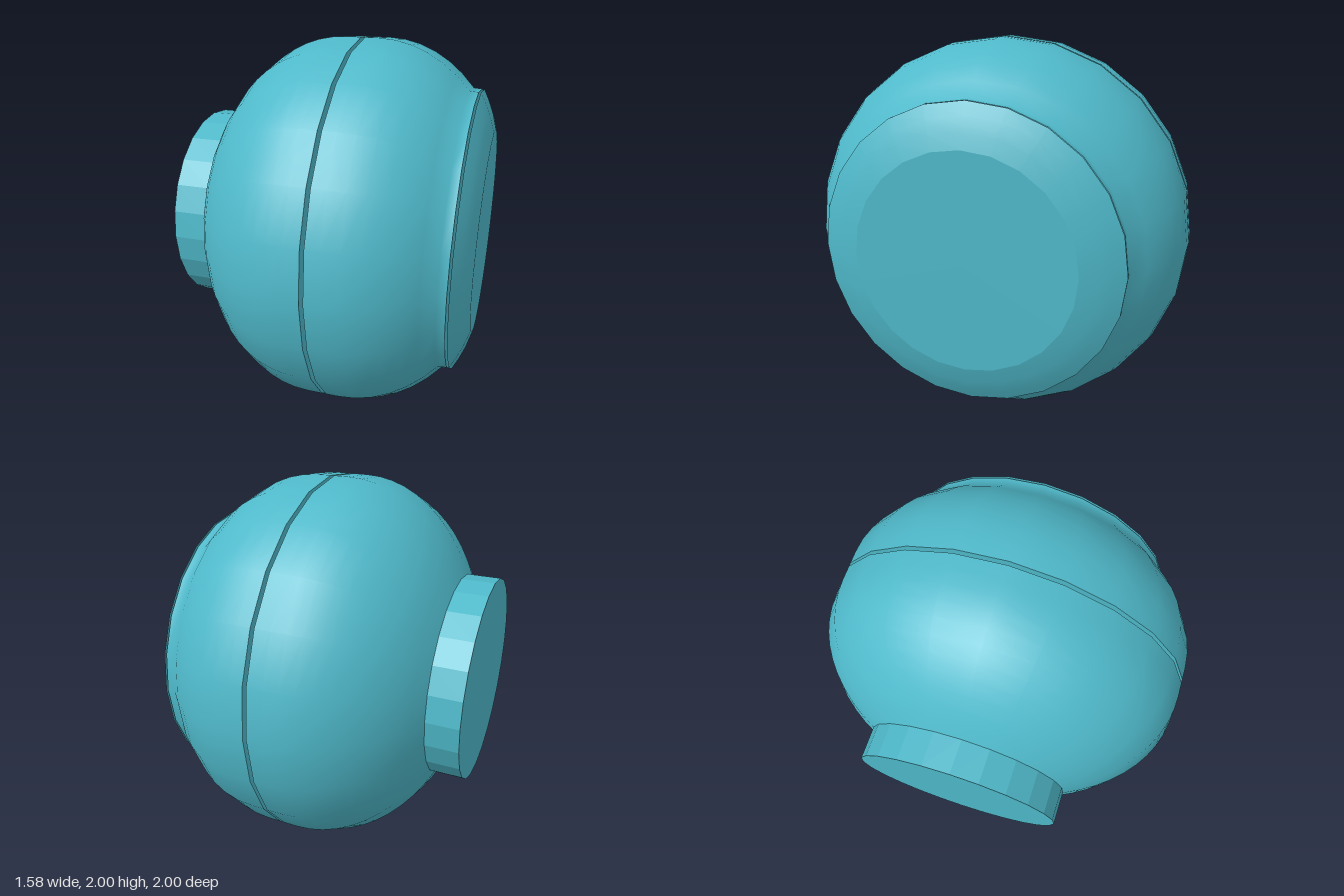
import * as THREE from 'three';
import { mergeGeometries } from 'three/addons/utils/BufferGeometryUtils.js';

const SIDES = 24;
const teal = new THREE.MeshStandardMaterial({ color: 0x4fb9ca });
teal.name = 'teal';

// Flat disc across the x axis, facing +x (dir 1) or -x (dir -1)
function disc(r, x, dir) {
  return new THREE.CircleGeometry(r, SIDES).rotateY(dir * Math.PI / 2).translate(x, 0, 0);
}

// Closed, smooth-sided solid turned around the x axis; profile is [x, radius] with x ascending
function turned(name, profile) {
  const side = new THREE.LatheGeometry(profile.map(([x, r]) => new THREE.Vector2(r, x)), SIDES);
  side.rotateZ(-Math.PI / 2);
  const [x0, r0] = profile[0];
  const [x1, r1] = profile[profile.length - 1];
  const mesh = new THREE.Mesh(mergeGeometries([side, disc(r0, x0, -1), disc(r1, x1, 1)]), teal);
  mesh.name = name;
  return mesh;
}

// Points along the elliptical shoulder between two radii, bulging towards dir
function shoulder(centre, dir, rFrom, rTo, steps) {
  const a0 = Math.asin(rFrom), a1 = Math.asin(rTo);
  return Array.from({ length: steps + 1 }, (_, i) => {
    const a = a0 + (a1 - a0) * i / steps;
    return [centre + dir * 0.735 * Math.cos(a), Math.sin(a)];
  });
}

export function createModel() {
  const model = new THREE.Group();
  model.name = 'roundKnob';
  const body = new THREE.Group();
  body.name = 'body';
  body.position.y = 1;
  model.add(body);

  // Two rounded halves with a narrow gap between them
  body.add(turned('innerHalf', [...shoulder(0, -1, 0.54, 1, 10), [0.08, 1]]));
  body.add(turned('outerHalf', [[0.1, 1], ...shoulder(0.17, 1, 1, 0.76, 6), [0.692, 0.757]]
    .filter(([x], i, all) => i === 0 || x > all[i - 1][0])));

  // End cap beyond the second gap
  body.add(turned('endCap', [[0.703, 0.757], [0.735, 0.695], [0.762, 0.63], [0.785, 0.55]]));

  // Faceted stem on the other end
  const stemGeometry = new THREE.CylinderGeometry(0.54, 0.54, 0.18, SIDES).toNonIndexed();
  stemGeometry.computeVertexNormals();
  const stem = new THREE.Mesh(stemGeometry.rotateZ(Math.PI / 2), teal);
  stem.name = 'stem';
  stem.position.x = -0.7;
  body.add(stem);

  return model;
}
